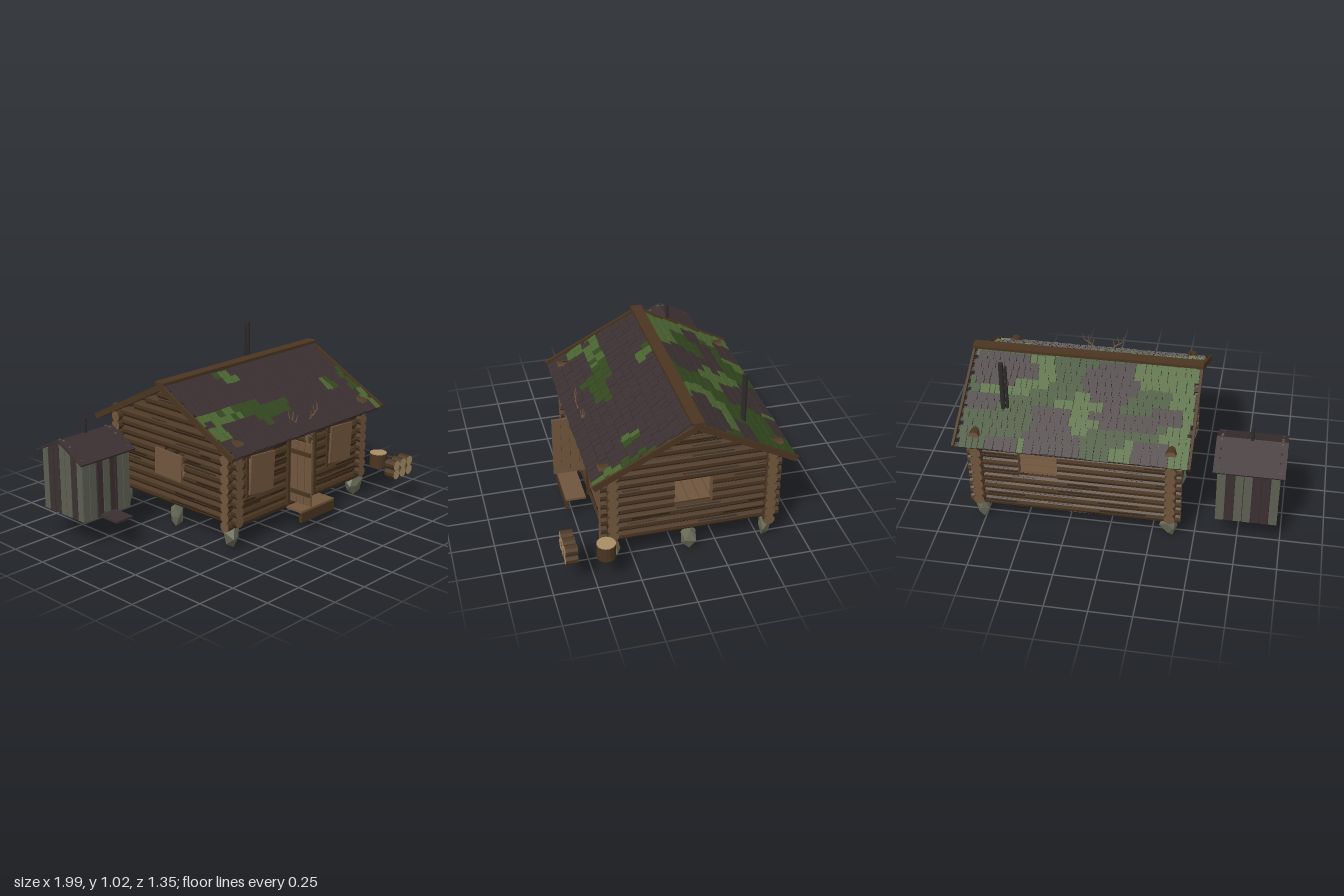
import * as THREE from 'three';
import { mergeGeometries } from 'three/addons/utils/BufferGeometryUtils.js';

const colours = {
  shingle: 0x3b3031, mossDark: 0x33471f, mossLight: 0x4b6430, bark: 0x4a3520, barkDark: 0x2b1e12,
  plank: 0x70553d, sawnWood: 0xa88d66, greyPlank: 0x5c5e52, stone: 0x6a6c58, iron: 0x2e2a2b,
};
let seed = 7;
const rnd = () => (seed = (seed * 16807) % 2147483647) / 2147483647;
const range = (a, b) => a + (b - a) * rnd();

const box = (w, h, d, x = 0, y = 0, z = 0) => new THREE.BoxGeometry(w, h, d).translate(x, y, z);
const flat = (g) => {
  const f = g.index ? g.toNonIndexed() : g;
  f.deleteAttribute('uv');
  f.computeVertexNormals();
  return f;
};

export function createModel() {
  seed = 7;
  const mats = {};
  for (const [name, color] of Object.entries(colours)) {
    mats[name] = new THREE.MeshStandardMaterial({ color });
    mats[name].name = name;
  }
  const model = new THREE.Group();
  const part = (name, mat, geos, parent = model) => {
    if (!geos.length) return null;
    const mesh = new THREE.Mesh(mergeGeometries(geos.map(flat)), mats[mat]);
    mesh.name = name;
    parent.add(mesh);
    return mesh;
  };

  // Log from a to b along an axis: body, sawn ends and dark cracks
  const addLog = (set, axis, a, b, p, q, r = 0.033, cracks = true) => {
    const len = b - a, mid = (a + b) / 2;
    const place = (g) => axis === 'x'
      ? g.rotateZ(-Math.PI / 2).translate(mid, p, q)
      : g.rotateX(Math.PI / 2).translate(q, p, mid);
    set.body.push(place(new THREE.CylinderGeometry(r, r, len, 10, 1, true)));
    for (const s of [1, -1])
      set.ends.push(place(new THREE.CircleGeometry(r, 10).rotateX(-s * Math.PI / 2).translate(0, s * len / 2, 0)));
    if (!cracks) return;
    for (let k = 0; k < Math.ceil(len * 12); k++) {
      const l = Math.min(range(0.08, 0.3), len * 0.8);
      set.cracks.push(place(box(range(0.004, 0.011), l, 0.004, 0, range(-1, 1) * (len - l) / 2, r * 0.96)
        .rotateY((Math.floor(rnd() * 10) + 0.5) * Math.PI / 5)));
    }
  };
  const newSet = () => ({ body: [], ends: [], cracks: [] });
  const addSet = (name, set, endMat = 'plank') => {
    part(name + 'Logs', 'bark', set.body);
    part(name + 'LogEnds', endMat, set.ends);
    part(name + 'Cracks', 'barkDark', set.cracks);
  };

  // Log walls, split around openings given as [from, to, bottom, top]
  const wall = (name, axis, at, from, to, y0, rows, holes) => {
    const set = newSet();
    for (let i = 0; i < rows; i++) {
      const y = y0 + i * 0.0575;
      let start = from;
      for (const h of holes) {
        if (y < h[2] || y > h[3]) continue;
        addLog(set, axis, start, h[0], y, at);
        start = h[1];
      }
      addLog(set, axis, start, to, y, at);
    }
    if (axis === 'z') {
      [[-0.415, 0.235, 0.7], [-0.31, 0.13, 0.76], [-0.205, 0.03, 0.815]]
        .forEach(([a, b, y]) => addLog(set, 'z', a, b, y, at));
    }
    addSet(name, set);
  };
  const sideHole = [[-0.21, 0.01, 0.32, 0.49]];
  wall('frontWall', 'x', 0.37, -0.42, 0.83, 0.145, 9,
    [[-0.25, -0.07, 0.31, 0.53], [0.1, 0.32, 0.16, 0.57], [0.47, 0.65, 0.31, 0.53]]);
  wall('backWall', 'x', -0.55, -0.42, 0.83, 0.145, 9, [[0.3, 0.53, 0.32, 0.53]]);
  wall('rightWall', 'z', -0.36, -0.615, 0.435, 0.174, 9, sideHole);
  wall('leftWall', 'z', 0.77, -0.615, 0.435, 0.174, 9, sideHole);

  // Floor boards and step
  const floor = [];
  for (let i = 0; i < 14; i++) floor.push(box(1.13, 0.014, 0.062, 0.205, 0.146, -0.52 + i * 0.0665));
  part('floorBoards', 'plank', floor);
  part('stepTread', 'plank', [box(0.3, 0.014, 0.12, 0.205, 0.142, 0.486)]);
  part('stepRiser', 'bark', [box(0.3, 0.06, 0.02, 0.205, 0.106, 0.538)]);

  // Door frame, window frames, open door and nailed shutters
  const frames = [box(0.02, 0.43, 0.05, 0.09, 0.36, 0.39), box(0.02, 0.43, 0.05, 0.33, 0.36, 0.39),
    box(0.26, 0.02, 0.05, 0.21, 0.575, 0.39)];
  const shutters = [];
  for (const x of [-0.16, 0.56]) {
    for (const s of [1, -1]) {
      frames.push(box(0.018, 0.27, 0.03, x + s * 0.105, 0.42, 0.394));
      frames.push(box(0.21, 0.018, 0.03, x, 0.42 + s * 0.118, 0.394));
    }
    shutters.push(box(0.2, 0.235, 0.012).rotateZ(-0.07).translate(x + 0.005, 0.42, 0.418));
  }
  shutters.push(box(0.012, 0.165, 0.225).rotateX(0.03).translate(-0.4, 0.4, -0.105));
  part('frames', 'bark', frames);
  part('shutters', 'plank', shutters);
  const door = [];
  for (let i = 0; i < 4; i++) door.push(box(0.014, 0.385, 0.05, 0.112, 0.363, 0.385 + i * 0.0535));
  part('openDoor', 'plank', door);
  part('doorBraces', 'bark', [0.24, 0.49].map((y) => box(0.01, 0.025, 0.2, 0.101, y, 0.465)));

  // Moss patches as ellipses [x, z, rx, rz]
  const frontMoss = [[-0.2, 0.24, 0.26, 0.05], [0.13, 0.28, 0.14, 0.06], [0, 0, 0.07, 0.06], [0.86, 0.3, 0.05, 0.2],
    [0.68, 0.25, 0.07, 0.04], [-0.4, 0.33, 0.06, 0.06], [-0.02, 0.34, 0.06, 0.04]];
  const backBare = [[0.05, -0.27, 0.15, 0.14], [-0.08, -0.47, 0.2, 0.06], [0.7, -0.22, 0.22, 0.1], [0.32, -0.6, 0.17, 0.07],
    [0.35, -0.47, 0.13, 0.06], [-0.24, -0.62, 0.1, 0.04], [0.76, -0.42, 0.1, 0.07], [-0.3, -0.42, 0.1, 0.05], [0.6, -0.65, 0.1, 0.04]];
  const inside = (list, x, z) => list.some(([cx, cz, rx, rz]) => ((x - cx) / rx) ** 2 + ((z - cz) / rz) ** 2 < range(0.8, 1.2));

  // Roof slopes: battens, staggered shingles and barge boards
  const pitch = Math.atan(0.525), slopeLen = 0.652, rows = 12;
  for (const side of [1, -1]) {
    const turn = new THREE.Group();
    turn.name = side > 0 ? 'frontRoof' : 'backRoof';
    turn.position.set(0.205, 0.903, -0.09);
    turn.rotation.y = side > 0 ? 0 : Math.PI;
    const slope = new THREE.Group();
    slope.name = 'roofSlope';
    slope.rotation.x = pitch;
    turn.add(slope);
    model.add(turn);
    const tiles = { shingle: [], mossDark: [], mossLight: [] }, battens = [];
    const step = slopeLen / rows;
    for (let r = 0; r < rows; r++) {
      const s = (r + 0.5) * step;
      battens.push(box(1.35, 0.01, 0.028, 0, -0.016, s + 0.012));
      let x = -0.655 + (r % 2) * 0.012;
      while (x < 0.64) {
        const w = Math.min(range(0.032, 0.062), 0.665 - x);
        const wx = 0.205 + side * (x + w / 2), wz = -0.09 + side * s * Math.cos(pitch);
        const mossy = side > 0 ? inside(frontMoss, wx, wz) : !inside(backBare, wx, wz);
        const light = Math.sin(wx * 9 + wz * 14) + Math.cos(wx * 6 - wz * 11) + range(-0.5, 0.5) > 0.3 || wx < -0.3;
        const mat = !mossy ? 'shingle' : light ? 'mossLight' : 'mossDark';
        const l = step * 1.5 + range(-0.006, 0.008);
        tiles[mat].push(box(w - 0.004, 0.008, l).rotateX(0.09)
          .translate(x + w / 2, 0.001 + range(-0.002, 0.002), s - 0.012));
        x += w;
      }
    }
    for (const mat in tiles) part(mat + 'Tiles', mat, tiles[mat], slope);
    part('battens', 'shingle', battens, slope);
    part('bargeBoards', 'bark', [-1, 1].map((e) => box(0.014, 0.036, slopeLen + 0.01, e * 0.675, -0.006, slopeLen / 2)), slope);
  }
  part('ridgeBoard', 'bark', [box(1.365, 0.018, 0.07, 0.205, 0.917, -0.09)]);

  // Stove pipes
  part('stovePipe', 'iron', [new THREE.CylinderGeometry(0.015, 0.015, 0.37, 8).translate(0.635, 0.845, -0.43),
    new THREE.CylinderGeometry(0.009, 0.009, 0.32, 6).translate(0.61, 0.85, -0.43)]);

  // Antlers above the door
  const antlers = [];
  const prong = (a, b, r) => {
    const A = new THREE.Vector3(...a), d = new THREE.Vector3(...b).sub(A);
    const q = new THREE.Quaternion().setFromUnitVectors(new THREE.Vector3(0, 1, 0), d.clone().normalize());
    antlers.push(new THREE.CylinderGeometry(r * 0.5, r, d.length(), 5).applyQuaternion(q).translate(...A.addScaledVector(d, 0.5).toArray()));
  };
  for (const s of [1, -1]) {
    const p = (x, y, z) => [0.205 + s * x, y, z];
    prong(p(0.02, 0.61, 0.41), p(0.08, 0.66, 0.42), 0.006);
    prong(p(0.08, 0.66, 0.42), p(0.125, 0.69, 0.42), 0.005);
    prong(p(0.125, 0.69, 0.42), p(0.13, 0.735, 0.41), 0.004);
    prong(p(0.1, 0.675, 0.42), p(0.09, 0.725, 0.415), 0.004);
    prong(p(0.07, 0.655, 0.42), p(0.06, 0.7, 0.425), 0.004);
  }
  part('antlers', 'plank', antlers);

  // Foundation stones: irregular rocks narrowing downwards
  const stones = [];
  for (const x of [-0.36, 0.77]) for (const z of [0.37, -0.085, -0.545]) {
    const g = new THREE.IcosahedronGeometry(1, 0), pos = g.attributes.position, k = x * 5 + z * 9;
    for (let i = 0; i < pos.count; i++) {
      const [a, b, c] = [pos.getX(i), pos.getY(i), pos.getZ(i)];
      const f = 0.85 + 0.25 * Math.sin(a * 5 + b * 7 + c * 4 + k), t = 0.85 + 0.25 * b;
      pos.setXYZ(i, a * f * t * 0.07, b * 0.08, c * f * t * 0.07);
    }
    stones.push(g.rotateY(k).translate(x, 0.075, z));
  }
  part('foundationStones', 'stone', stones);

  // Firewood pile and chopping block
  const wood = newSet();
  for (const x of [0.82, 0.885, 0.95]) for (const y of [0.204, 0.262]) addLog(wood, 'z', 0.6, 0.67, y, x, 0.032, false);
  addSet('firewood', wood, 'sawnWood');
  part('choppingBlock', 'bark', [new THREE.CylinderGeometry(0.055, 0.055, 0.088, 14).translate(0.94, 0.215, 0.437)]);
  part('choppingBlockTop', 'sawnWood', [new THREE.CylinderGeometry(0.054, 0.054, 0.004, 14).translate(0.94, 0.261, 0.437)]);

  // Outhouse: plank walls, gables, roof, pipe, door and step
  const house = new THREE.Group();
  house.name = 'outhouse';
  house.position.set(-0.797, 0.172, -0.383);
  model.add(house);
  const planks = { greyPlank: [], shingle: [] };
  for (let i = 0; i < 7; i++) {
    const o = (i - 3) * 0.0505;
    for (const s of [1, -1]) {
      const frontMat = [2, 4].includes(i) ? 'shingle' : 'greyPlank';
      const sideMat = [1, 2, 5].includes(i) ? 'shingle' : 'greyPlank';
      planks[s > 0 ? frontMat : sideMat].push(box(0.047, 0.365, 0.012, o, 0.182, s * 0.172));
      const top = 0.36 + 0.1 * (1 - Math.abs(o) / 0.19);
      planks[sideMat].push(box(0.012, top, 0.047, s * 0.172, top / 2, o));
    }
  }
  part('greyPlanks', 'greyPlank', planks.greyPlank, house);
  part('darkPlanks', 'shingle', planks.shingle, house);
  part('outhouseInside', 'iron', [box(0.335, 0.34, 0.335, 0, 0.175, 0)], house);
  part('outhouseRoof', 'shingle', [1, -1].map((s) =>
    box(0.406, 0.012, 0.228).translate(0, 0, s * 0.113).rotateX(s * 0.46).translate(0, 0.458, 0)), house);
  part('outhouseDoorFrame', 'shingle', [box(0.012, 0.355, 0.01, -0.068, 0.182, 0.18), box(0.012, 0.355, 0.01, 0.068, 0.182, 0.18)], house);
  part('outhouseStep', 'shingle', [box(0.12, 0.014, 0.15, 0, 0.01, 0.252)], house);
  part('outhousePipe', 'iron', [new THREE.CylinderGeometry(0.01, 0.01, 0.13, 8).translate(0, 0.487, 0)], house);

  return model;
}
